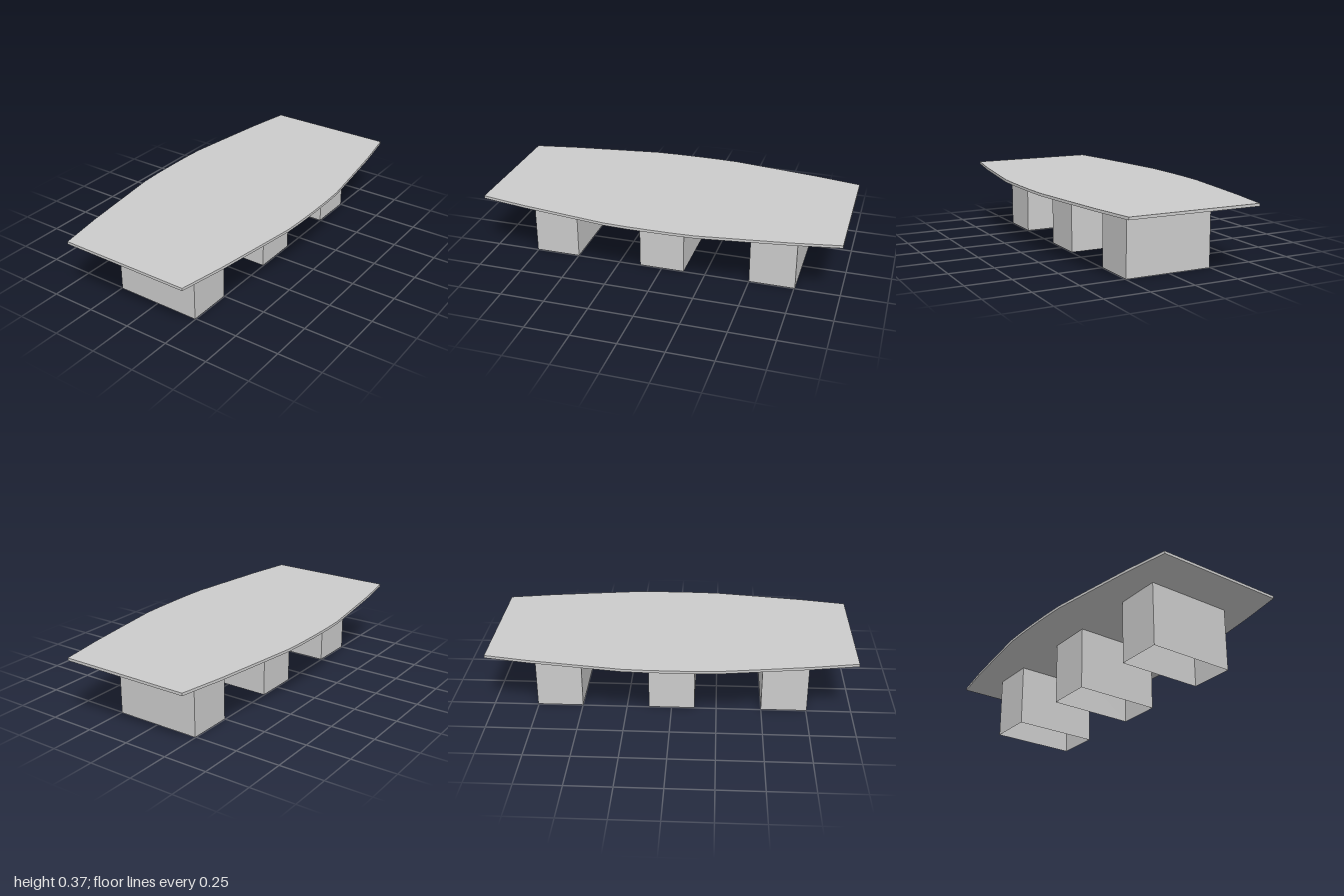
import * as THREE from 'three';

const WIDTH = 0.494, DEPTH = 0.255, UNDERSIDE = 0.357, THICKNESS = 0.015;

export function createModel() {
  const table = new THREE.Group();
  table.name = 'conferenceTable';
  const topMaterial = new THREE.MeshStandardMaterial({ color: 0xcccccc, flatShading: true });
  const baseMaterial = new THREE.MeshStandardMaterial({ color: 0xcccccc, flatShading: true, side: THREE.DoubleSide });

  // Boat-shaped top: half widths along one side, mirrored to the other
  const side = [[0.37, 1], [0.415, 0.75], [0.45, 0.5], [0.484, 0.25], [0.489, 0.125], [0.49, 0],
    [0.489, -0.125], [0.484, -0.25], [0.45, -0.5], [0.415, -0.75], [0.37, -1]];
  const outline = [...side, ...side.map(([x, z]) => [-x, -z])].map(([x, z]) => new THREE.Vector2(x, z));
  const topGeometry = new THREE.ExtrudeGeometry(new THREE.Shape(outline), { depth: THICKNESS, bevelEnabled: false });
  topGeometry.rotateX(-Math.PI / 2).translate(0, UNDERSIDE, 0);
  const top = new THREE.Mesh(topGeometry, topMaterial);
  top.name = 'tableTop';
  table.add(top);

  // Hollow rectangular pedestals, open at the floor: a four-sided tube squared up and scaled
  const baseGeometry = new THREE.CylinderGeometry(Math.SQRT1_2, Math.SQRT1_2, UNDERSIDE, 4, 1, true);
  baseGeometry.rotateY(Math.PI / 4).scale(WIDTH, 1, DEPTH).translate(0, UNDERSIDE / 2, 0);
  const names = ['backPedestal', 'middlePedestal', 'frontPedestal'];
  names.forEach((name, i) => {
    const pedestal = new THREE.Mesh(baseGeometry, baseMaterial);
    pedestal.name = name;
    pedestal.position.z = (i - 1) * 0.627;
    table.add(pedestal);
  });

  return table;
}
